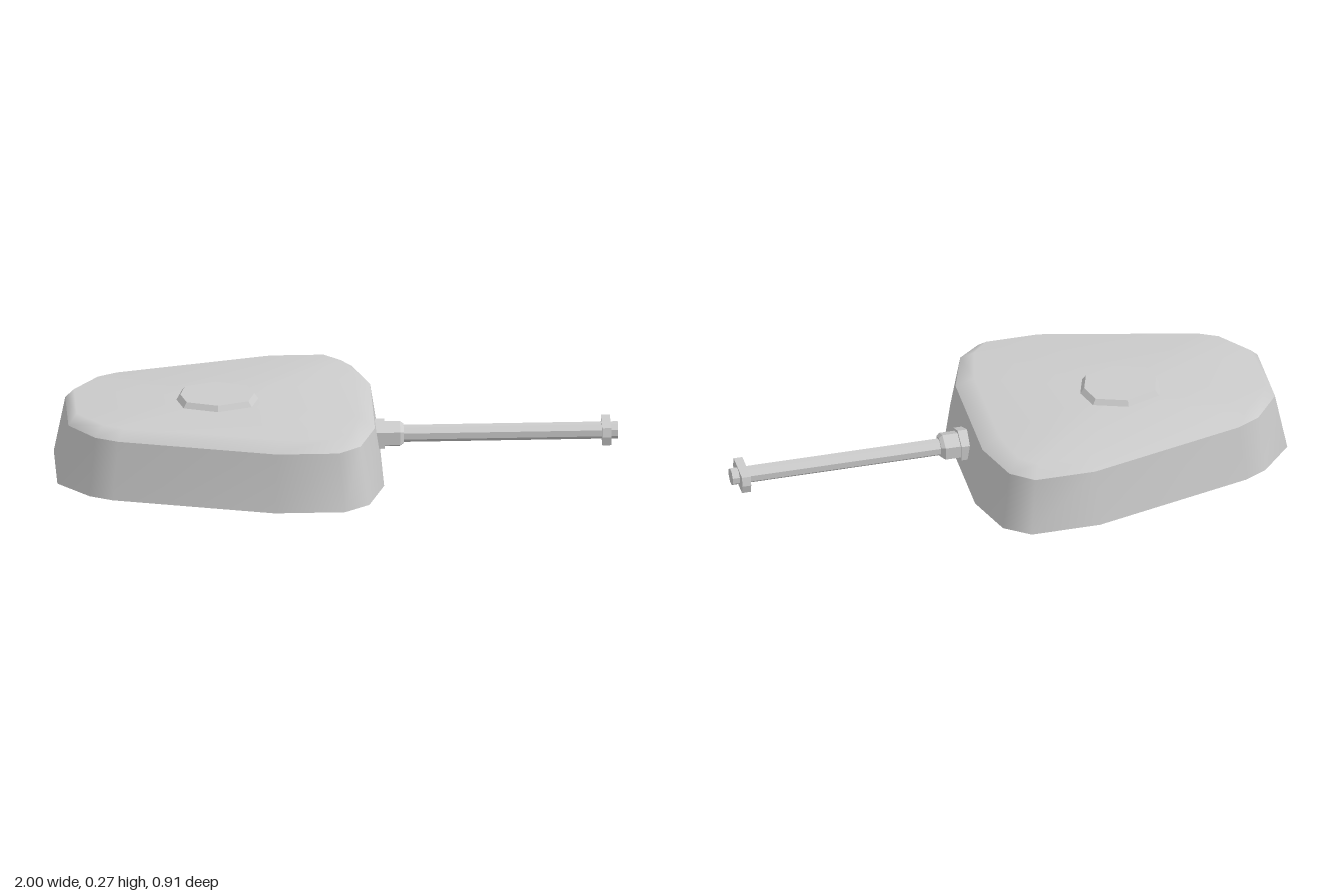
import * as THREE from 'three';

const material = new THREE.MeshStandardMaterial({ color: 0xcccccc, side: THREE.DoubleSide });
const flatMaterial = new THREE.MeshStandardMaterial({ color: 0xcccccc, flatShading: true });

// Mirrors half an outline (x, z pairs, front to back) into a closed ring at height y
function ring(half, y) {
  const side = half.map(([x, z]) => [x, y, z]);
  const other = half.filter(([, z]) => z > 0).reverse().map(([x, z]) => [x, y, -z]);
  return [...side, ...other];
}

// Skins stacked rings from bottom to top, optionally closing the top or bottom
function skin(rings, { top = false, bottom = false } = {}) {
  const n = rings[0].length;
  const points = rings.flat();
  const index = [];
  for (let r = 0; r < rings.length - 1; r++) {
    for (let i = 0; i < n; i++) {
      const a = r * n + i, b = r * n + (i + 1) % n;
      index.push(b, a, a + n, b, a + n, b + n);
    }
  }
  const fan = (start, up) => {
    const loop = points.slice(start, start + n);
    const centre = [0, 1, 2].map(k => loop.reduce((s, p) => s + p[k], 0) / n);
    const c = points.push(centre) - 1;
    for (let i = 0; i < n; i++) {
      const a = start + i, b = start + (i + 1) % n;
      index.push(c, up ? b : a, up ? a : b);
    }
  };
  if (top) fan((rings.length - 1) * n, true);
  if (bottom) fan(0, false);
  const g = new THREE.BufferGeometry();
  g.setAttribute('position', new THREE.Float32BufferAttribute(points.flat(), 3));
  g.setIndex(index);
  g.computeVertexNormals();
  return g;
}

export function createModel() {
  const model = new THREE.Group();
  const add = (parent, name, geometry, mat = flatMaterial) => {
    const mesh = new THREE.Mesh(geometry, mat);
    mesh.name = name;
    parent.add(mesh);
    return mesh;
  };

  // Turret body: sloped walls, bevelled roof and flat floor
  const base = [[0.16, 0.22], [0.1, 0.39], [0.01, 0.453], [-0.24, 0.453], [-0.81, 0.31], [-0.89, 0.27], [-1, 0.15]];
  const shoulder = [[0.128, 0.2], [0.07, 0.365], [-0.01, 0.425], [-0.23, 0.425], [-0.79, 0.285], [-0.87, 0.245], [-0.96, 0.13]];
  const roof = [[0.065, 0.18], [0.03, 0.33], [-0.03, 0.385], [-0.22, 0.385], [-0.77, 0.255], [-0.84, 0.22], [-0.93, 0.11]];
  const body = new THREE.Group();
  body.name = 'turretBody';
  model.add(body);
  add(body, 'walls', skin([ring(base, 0), ring(shoulder, 0.215)]), material);
  add(body, 'roof', skin([ring(shoulder, 0.215), ring(roof, 0.253)], { top: true }), material);
  const floor = new THREE.ShapeGeometry(new THREE.Shape(ring(base, 0).map(([x, , z]) => new THREE.Vector2(x, z))));
  add(body, 'floor', floor.rotateX(Math.PI / 2), material);

  // Hatch: low eight-sided lid with sloped edges
  const hatchHalf = s => [[0.15, 0], [0.123, 0.082], [0, 0.123], [-0.123, 0.082], [-0.145, 0]]
    .map(([x, z]) => [-0.427 + x * s, z * s]);
  add(model, 'hatch', skin([ring(hatchHalf(1), 0.25), ring(hatchHalf(0.89), 0.273)], { top: true, bottom: true }));

  // Gun: every round part runs along x
  const gun = new THREE.Group();
  gun.name = 'gun';
  gun.position.y = 0.108;
  model.add(gun);
  const rod = (name, x0, x1, r0, r1, sides, start, widen = 1) => {
    const g = new THREE.CylinderGeometry(r1, r0, x1 - x0, sides, 1, false, start);
    g.rotateZ(-Math.PI / 2).scale(1, 1, widen).translate((x0 + x1) / 2, 0, 0);
    return add(gun, name, g);
  };
  rod('mountFlange', 0.11, 0.17, 0.058, 0.058, 6, Math.PI / 2, 1.22);
  rod('mountCollar', 0.17, 0.225, 0.048, 0.048, 6, Math.PI / 2, 1.2);
  rod('mountCollarTip', 0.225, 0.238, 0.048, 0.038, 6, Math.PI / 2, 1.2);
  rod('barrel', 0.2, 1, 0.03, 0.03, 8, Math.PI / 8, 1.1);

  // Muzzle brake: wide six-sided plate near the barrel tip
  const plate = new THREE.Shape([[0.07, 0], [0.062, 0.033], [-0.062, 0.033], [-0.07, 0], [-0.062, -0.033], [0.062, -0.033]]
    .map(p => new THREE.Vector2(...p)));
  const brake = new THREE.ExtrudeGeometry(plate, { depth: 0.032, bevelEnabled: false });
  add(gun, 'muzzleBrake', brake.rotateY(Math.PI / 2).translate(0.942, 0, 0));

  return model;
}
